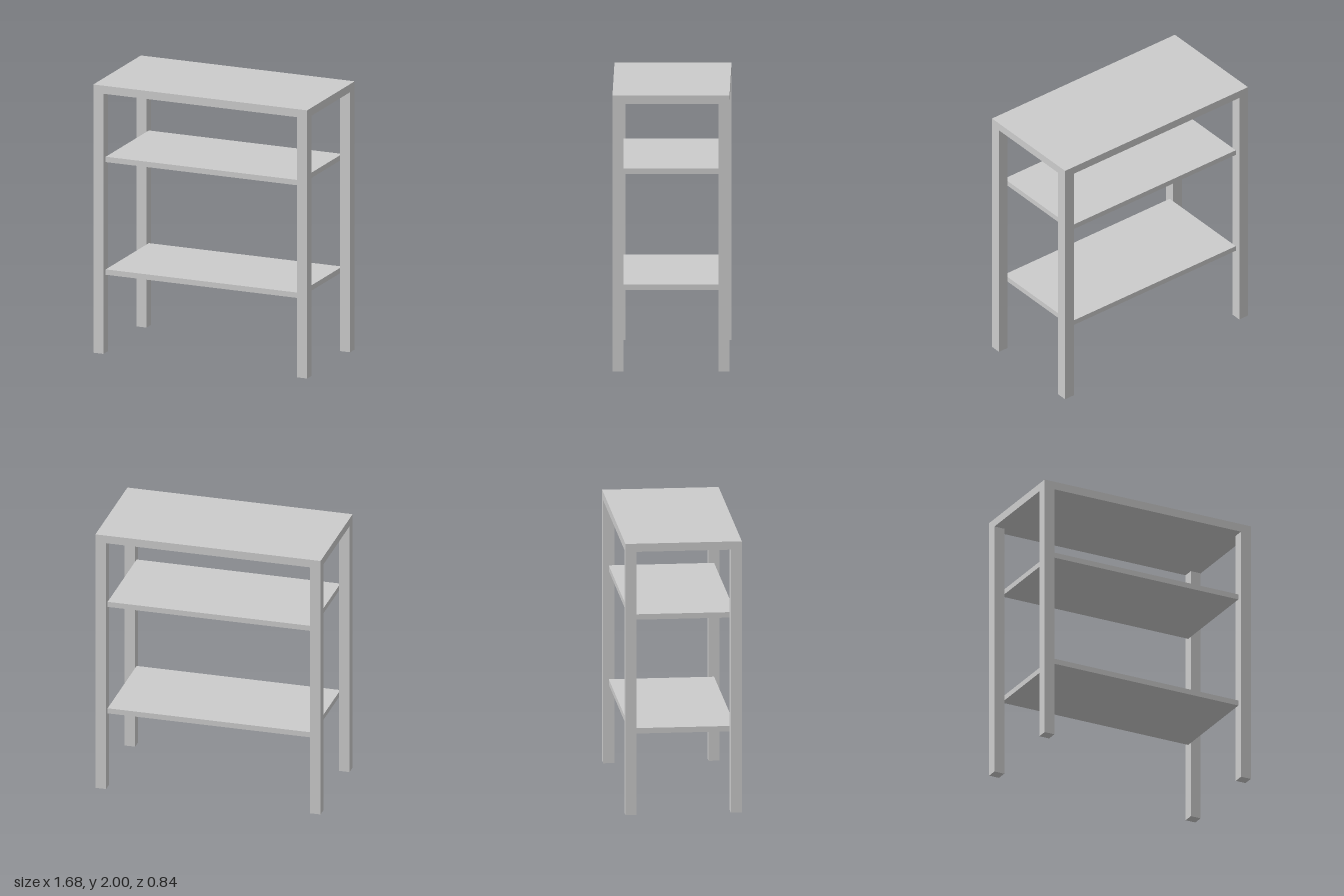
import * as THREE from 'three';

const WIDTH = 1.68, DEPTH = 0.84, HEIGHT = 2;
const LEG = 0.08, TOP = 0.06, SHELF = 0.04;

export function createModel() {
  const group = new THREE.Group();
  group.name = 'shelfTable';
  const material = new THREE.MeshStandardMaterial({ color: 0xcccccc });

  // Box resting on height y
  const addBox = (name, w, h, d, x, y, z) => {
    const mesh = new THREE.Mesh(new THREE.BoxGeometry(w, h, d), material);
    mesh.name = name;
    mesh.position.set(x, y + h / 2, z);
    group.add(mesh);
  };

  // Table top, flush with the outside of the legs
  addBox('tableTop', WIDTH, TOP, DEPTH, 0, HEIGHT - TOP, 0);

  // Four square legs
  for (const sx of [1, -1]) {
    for (const sz of [1, -1]) {
      const name = (sz > 0 ? 'front' : 'back') + (sx > 0 ? 'Left' : 'Right') + 'Leg';
      addBox(name, LEG, HEIGHT - TOP, LEG, sx * (WIDTH - LEG) / 2, 0, sz * (DEPTH - LEG) / 2);
    }
  }

  // Two shelves between the legs, edges on the middle of the leg depth
  addBox('lowerShelf', WIDTH - 2 * LEG, SHELF, DEPTH - LEG, 0, 0.58, 0);
  addBox('upperShelf', WIDTH - 2 * LEG, SHELF, DEPTH - LEG, 0, 1.42, 0);

  return group;
}
